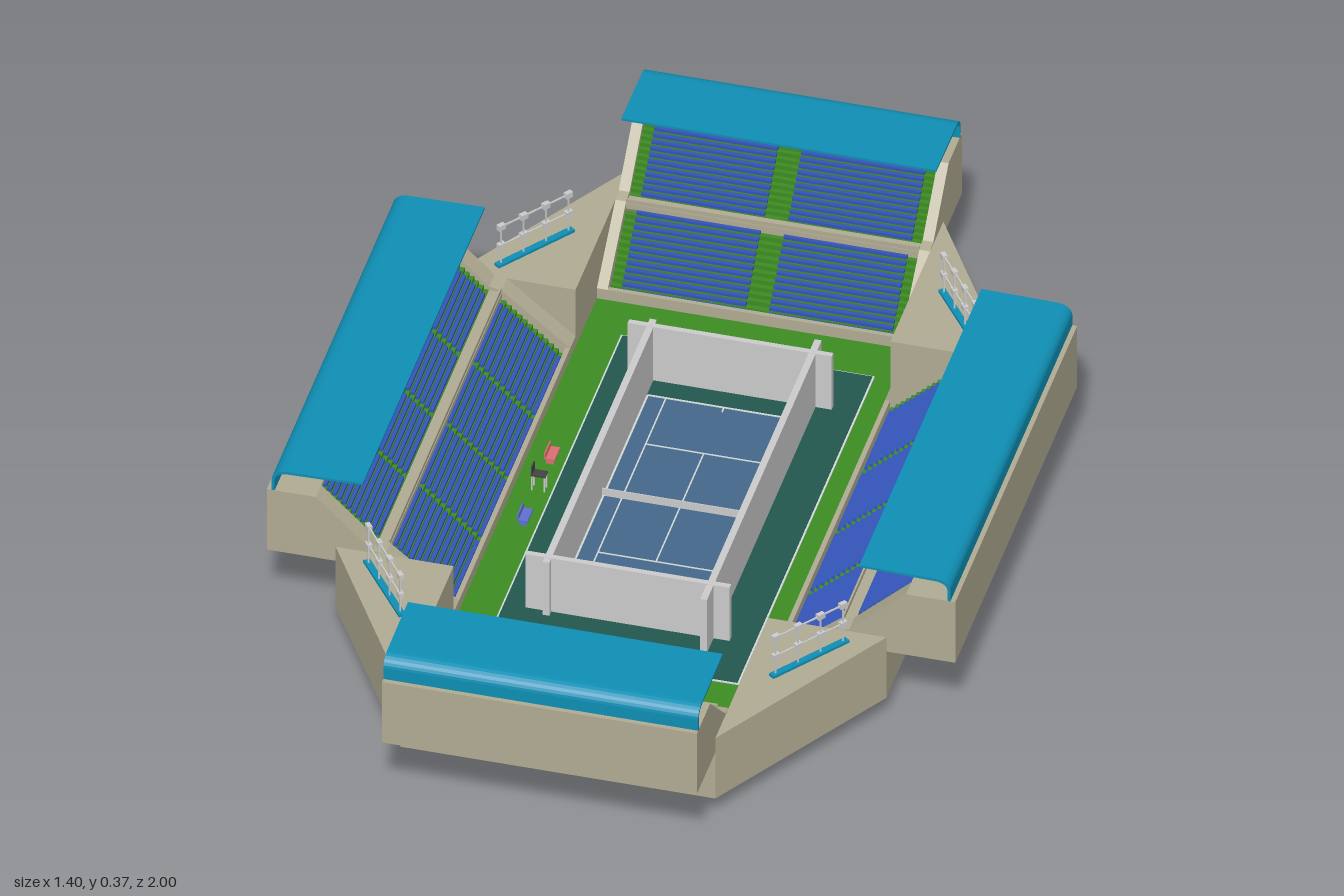
import * as THREE from 'three';

const mat = (color) => new THREE.MeshStandardMaterial({ color, flatShading: true, side: THREE.DoubleSide });
const M = {
  concrete: mat(0xb0ab92), roof: mat(0x0f8fb5), seat: mat(0x3454b8), grass: mat(0x3d8c22),
  surround: mat(0x22584f), court: mat(0x44688a), grey: mat(0xcccccc), line: mat(0xd0d8d8),
  red: mat(0xd87070), blue: mat(0x6070d0), dark: mat(0x444444),
};
const CX = -0.005; // middle of the grounds
const FLOOR = 0.06;

function add(parent, name, geometry, material) {
  const mesh = new THREE.Mesh(geometry, material);
  mesh.name = name;
  parent.add(mesh);
  return mesh;
}

function box(parent, name, material, w, h, d, x, y, z) {
  const mesh = add(parent, name, new THREE.BoxGeometry(w, h, d), material);
  mesh.position.set(x, y, z);
  return mesh;
}

const shapeOf = (points) => new THREE.Shape(points.map(([a, b]) => new THREE.Vector2(a, b)));

// Extrudes a (depth, height) profile sideways, centred on x
function profile(parent, name, material, points, width, x = 0) {
  const g = new THREE.ExtrudeGeometry(shapeOf(points), { depth: width, bevelEnabled: false });
  g.rotateY(-Math.PI / 2).translate(x + width / 2, 0, 0);
  return add(parent, name, g, material);
}

// One bank of stepped rows: a thin green stair with blue seats on it
function tier(stand, name, width, sections, u0, y0, u1, y1, rows) {
  const du = (u1 - u0) / rows, dy = (y1 - y0) / rows;
  const stair = [];
  for (let i = 0; i < rows; i++) {
    stair.push([u0 + i * du, y0 + i * dy], [u0 + (i + 1) * du, y0 + i * dy]);
  }
  const under = stair.map(([u, y]) => [u, y - 0.012]).reverse();
  profile(stand, name + 'Steps', M.grass, [...stair, ...under], width);
  for (let i = 0; i < rows; i++) {
    for (const [a, b] of sections) {
      for (const s of [-1, 1]) {
        box(stand, name + 'SeatRow', M.seat, b - a, 0.007, du * 0.8,
          s * (a + b) / 2, y0 + i * dy + 0.0035, u0 + (i + 0.58) * du);
      }
    }
  }
}

// Stand with local +z pointing away from the court
function makeStand(name, width, cheek, sections) {
  const stand = new THREE.Group();
  stand.name = name;
  const inner = width - 2 * cheek;

  // Solid end cheeks
  const side = [[0, 0.05], [0, 0.085], [0.14, 0.2], [0.165, 0.205], [0.28, 0.315],
    [0.38, 0.315], [0.38, 0.165], [0.24, 0.165], [0.24, 0.05]];
  for (const s of [-1, 1]) profile(stand, 'endCheek', M.concrete, side, cheek, s * (width - cheek) / 2);

  // Parapet, walkway, outer walls and top deck
  box(stand, 'frontParapet', M.concrete, inner, 0.035, 0.01, 0, 0.0675, 0.005);
  box(stand, 'walkway', M.concrete, inner, 0.012, 0.027, 0, 0.19, 0.152);
  box(stand, 'walkwayRail', M.concrete, inner, 0.012, 0.004, 0, 0.2, 0.142);
  box(stand, 'lowerOuterWall', M.concrete, inner, 0.15, 0.01, 0, 0.125, 0.235);
  box(stand, 'upperOuterWall', M.concrete, inner, 0.15, 0.01, 0, 0.24, 0.375);
  box(stand, 'topDeck', M.concrete, inner, 0.01, 0.1, 0, 0.31, 0.33);

  tier(stand, 'lowerTier', inner, sections, 0.012, 0.07, 0.14, 0.187, 12);
  tier(stand, 'upperTier', inner, sections, 0.166, 0.197, 0.282, 0.305, 12);

  // Curved canopy
  const outer = [[0.37, 0.315], [0.37, 0.342]];
  const innerLine = [[0.364, 0.315], [0.364, 0.341]];
  for (let i = 1; i <= 6; i++) {
    const a = (i / 6) * Math.PI / 2;
    outer.push([0.34 + 0.03 * Math.cos(a), 0.342 + 0.023 * Math.sin(a)]);
    innerLine.push([0.34 + 0.024 * Math.cos(a), 0.341 + 0.018 * Math.sin(a)]);
  }
  outer.push([0.185, 0.368]);
  innerLine.push([0.185, 0.363]);
  profile(stand, 'canopy', M.roof, [...outer, ...innerLine.reverse()], width);
  return stand;
}

// Corner block with its floodlight rack
function makeCorner(sx, sz) {
  const corner = new THREE.Group();
  corner.name = 'cornerBlock';
  const tri = shapeOf([[CX + sx * 0.32, sz * 0.46], [CX + sx * 0.56, sz * 0.46], [CX + sx * 0.32, sz * 0.86]]);
  const g = new THREE.ExtrudeGeometry(tri, { depth: 0.15, bevelEnabled: false });
  g.rotateX(Math.PI / 2).translate(0, 0.2, 0);
  add(corner, 'cornerWedge', g, M.concrete);

  const rack = new THREE.Group();
  rack.name = 'floodlightRack';
  rack.position.set(CX + sx * 0.432, 0.2, sz * 0.567);
  rack.rotation.y = -Math.atan2(-sz * 0.15, sx * 0.112);
  box(rack, 'rackBase', M.roof, 0.19, 0.006, 0.014, 0, 0.003, 0);
  for (const t of [-0.084, -0.028, 0.028, 0.084]) {
    box(rack, 'lightPole', M.grey, 0.003, 0.095, 0.003, t, 0.05, 0);
    for (const y of [0.048, 0.094]) box(rack, 'floodlight', M.grey, 0.016, 0.012, 0.01, t, y, 0);
  }
  for (const y of [0.048, 0.094]) box(rack, 'lightRail', M.grey, 0.18, 0.003, 0.003, 0, y, 0);
  corner.add(rack);
  return corner;
}

// Playing surface, markings, net and courtside furniture
function makeCourt() {
  const court = new THREE.Group();
  court.name = 'court';
  box(court, 'grassFloor', M.grass, 0.64, 0.008, 1.24, CX, FLOOR - 0.004, 0);

  const c = new THREE.Group();
  c.name = 'tennisCourt';
  c.position.set(0.01, FLOOR, -0.004);
  court.add(c);
  box(c, 'surroundBorder', M.line, 0.516, 0.002, 1.026, 0, 0.001, 0);
  box(c, 'surround', M.surround, 0.508, 0.004, 1.018, 0, 0.002, 0);
  box(c, 'courtSurface', M.court, 0.31, 0.006, 0.666, 0, 0.003, 0);
  const line = (w, d, x, z) => box(c, 'courtLine', M.line, w, 0.002, d, x, 0.0065, z);
  for (const s of [-1, 1]) {
    line(0.004, 0.666, s * 0.155, 0);
    line(0.003, 0.666, s * 0.118, 0);
    line(0.31, 0.004, 0, s * 0.333);
    line(0.236, 0.003, 0, s * 0.18);
    line(0.003, 0.015, 0, s * 0.326);
    box(c, 'surroundMark', M.line, 0.003, 0.002, 0.018, 0, 0.005, s * 0.502);
    box(c, 'netPost', M.grey, 0.004, 0.024, 0.004, s * 0.16, 0.016, 0);
  }
  line(0.003, 0.36, 0, 0);
  box(c, 'net', M.grey, 0.32, 0.018, 0.002, 0, 0.015, 0);

  // Benches and umpire chair
  for (const [z, m] of [[-0.1, M.red], [0.105, M.blue]]) {
    box(court, 'benchSeat', m, 0.02, 0.004, 0.042, -0.275, FLOOR + 0.012, z);
    box(court, 'benchBack', m, 0.003, 0.014, 0.042, -0.285, FLOOR + 0.019, z);
    for (const s of [-1, 1]) box(court, 'benchLeg', m, 0.016, 0.012, 0.003, -0.275, FLOOR + 0.006, z + s * 0.017);
  }
  for (const x of [-0.288, -0.262]) {
    for (const s of [-1, 1]) box(court, 'umpireChairLeg', M.grey, 0.003, 0.036, 0.003, x, FLOOR + 0.018, s * 0.008);
  }
  box(court, 'umpireChairSeat', M.dark, 0.03, 0.004, 0.02, -0.275, FLOOR + 0.037, 0);
  box(court, 'umpireChairBack', M.dark, 0.003, 0.02, 0.02, -0.288, FLOOR + 0.048, 0);
  return court;
}

// Tall crossing walls that pass through the floor
function makeEnclosure() {
  const walls = new THREE.Group();
  walls.name = 'courtEnclosure';
  for (const z of [-0.395, 0.375]) box(walls, 'endWall', M.grey, 0.415, 0.196, 0.012, 0.0075, 0.098, z);
  box(walls, 'sideWall', M.grey, 0.014, 0.195, 0.81, -0.155, 0.0975, -0.01);
  box(walls, 'sideWall', M.grey, 0.014, 0.195, 0.865, 0.175, 0.0975, -0.0025);
  return walls;
}

export function createModel() {
  const model = new THREE.Group();
  model.name = 'tennisStadium';
  model.add(makeCourt(), makeEnclosure());

  const longRows = [[0.009, 0.193], [0.212, 0.4]];
  const shortRows = [[0.024, 0.275]];
  for (const s of [-1, 1]) {
    const sideStand = makeStand(s > 0 ? 'leftStand' : 'rightStand', 0.92, 0.04, longRows);
    sideStand.rotation.y = s * Math.PI / 2;
    sideStand.position.x = CX + s * 0.32;
    const endStand = makeStand(s > 0 ? 'frontStand' : 'backStand', 0.64, 0.022, shortRows);
    endStand.rotation.y = s > 0 ? 0 : Math.PI;
    endStand.position.set(CX, 0, s * 0.62);
    model.add(sideStand, endStand);
    for (const t of [-1, 1]) model.add(makeCorner(s, t));
  }
  return model;
}
